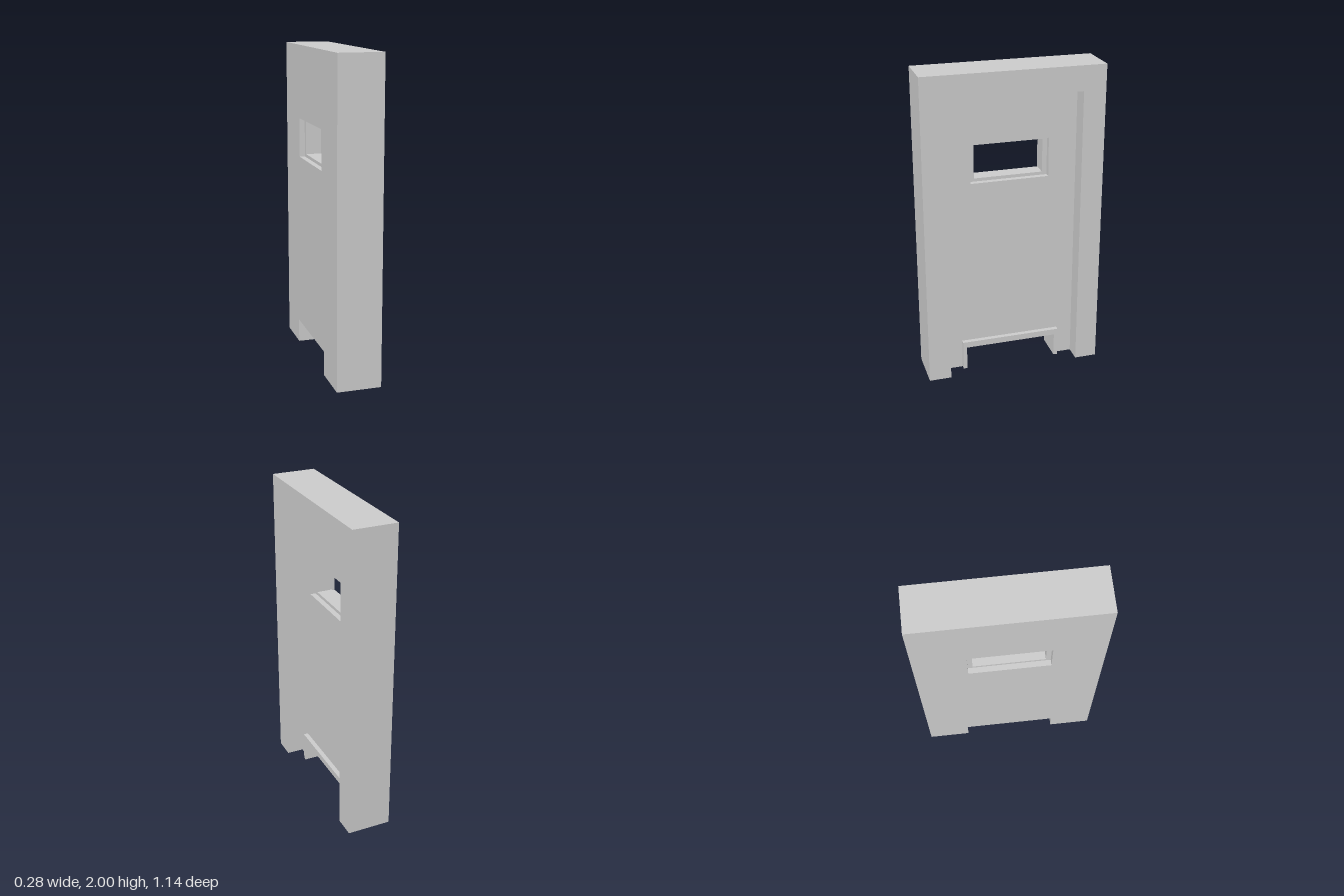
import * as THREE from 'three';

const material = new THREE.MeshStandardMaterial({ color: 0xcccccc, flatShading: true });

// Closed outline of a rectangle, half-width w, from y0 to y1
function rect(Type, w, y0, y1) {
  const p = new Type();
  p.moveTo(-w, y0);
  p.lineTo(w, y0);
  p.lineTo(w, y1);
  p.lineTo(-w, y1);
  p.closePath();
  return p;
}

// Upside-down U standing on the ground, around an opening of half-width iw and height ih
function arch(w, h, iw, ih) {
  return new THREE.Shape([
    [-w, 0], [-iw, 0], [-iw, ih], [iw, ih], [iw, 0], [w, 0], [w, h], [-w, h],
  ].map(([a, b]) => new THREE.Vector2(a, b)));
}

// Extrude a side-on shape along x, from x0 to x1
function slab(name, shape, x0, x1) {
  const geometry = new THREE.ExtrudeGeometry(shape, { depth: x1 - x0, bevelEnabled: false });
  geometry.rotateY(Math.PI / 2);
  geometry.translate(x0, 0, 0);
  const mesh = new THREE.Mesh(geometry, material);
  mesh.name = name;
  return mesh;
}

export function createModel() {
  const group = new THREE.Group();
  group.name = 'doorWall';

  const back = -0.14, panelFace = 0.03, front = 0.14;
  const halfWidth = 0.57, height = 2;

  // Door panel with window hole and floor opening
  const panel = arch(halfWidth, height, 0.3, 0.155);
  panel.holes.push(rect(THREE.Path, 0.25, 1.285, 1.535));
  group.add(slab('doorPanel', panel, back, panelFace));

  // Thick surround that leaves the panel recessed
  group.add(slab('doorSurround', arch(halfWidth, height, 0.428, 1.843), panelFace, front));

  // Raised trim round the floor opening
  group.add(slab('hatchTrim', arch(0.325, 0.195, 0.3, 0.155), panelFace, 0.06));

  // Window frame set back from both faces
  const frame = rect(THREE.Shape, 0.25, 1.285, 1.535);
  frame.holes.push(rect(THREE.Path, 0.22, 1.305, 1.52));
  group.add(slab('windowFrame', frame, -0.105, -0.005));

  return group;
}
